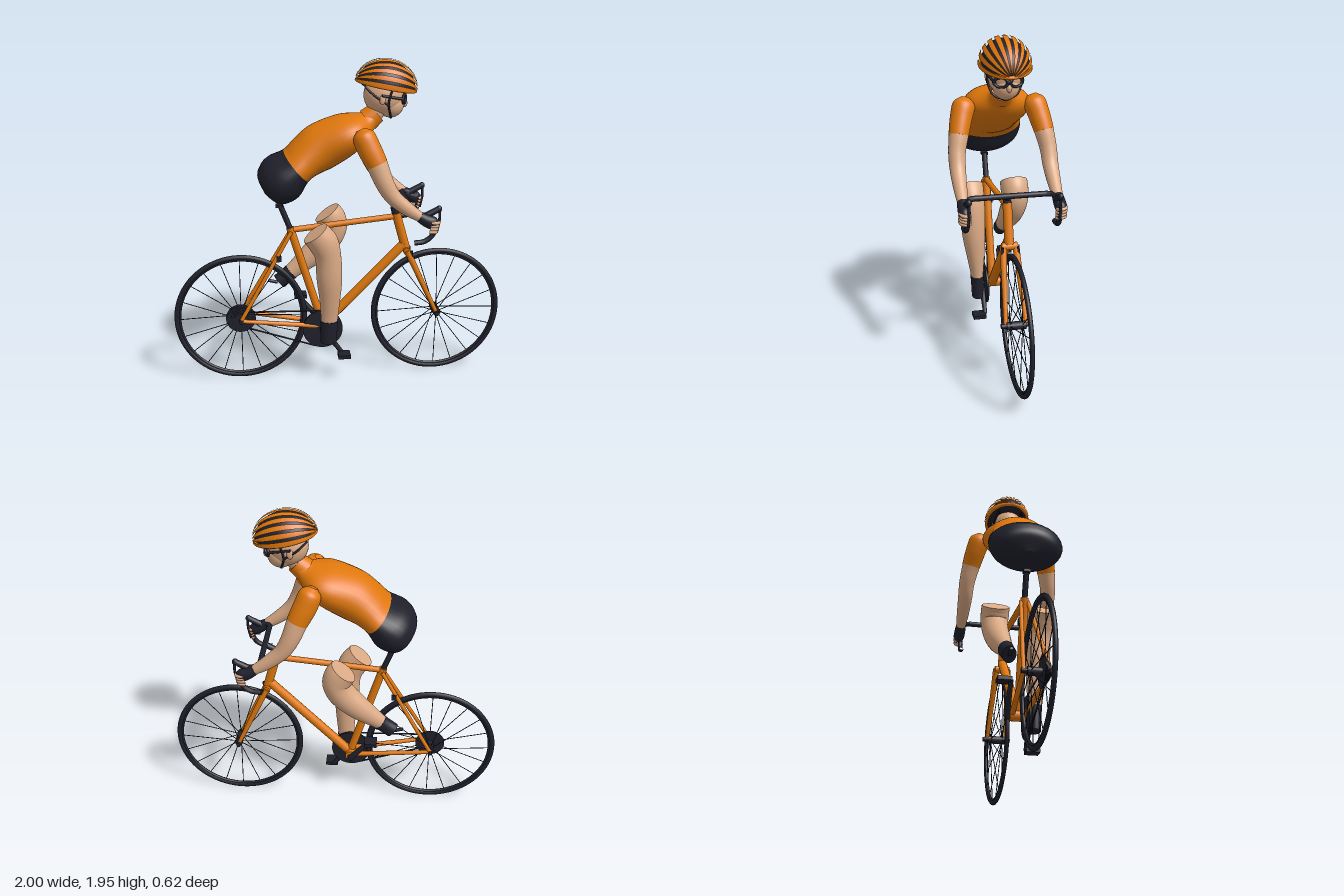
import * as THREE from 'three';

const mat = (name, color) => {
  const m = new THREE.MeshStandardMaterial({ color });
  m.name = name;
  return m;
};
const V = (p) => new THREE.Vector3(...p);

export function createModel() {
  const orange = mat('orange', 0xe0780c);
  const dark = mat('dark navy', 0x20202c);
  const skin = mat('skin', 0xdcab86);
  const model = new THREE.Group();
  model.name = 'cyclist';
  const group = (name) => {
    const g = new THREE.Group();
    g.name = name;
    model.add(g);
    return g;
  };
  const add = (parent, name, geo, material, pos = [0, 0, 0]) => {
    const m = new THREE.Mesh(geo, material);
    m.name = name;
    m.position.set(...pos);
    parent.add(m);
    return m;
  };
  // straight round bar between two points
  const rod = (parent, name, a, b, r, material, r2 = r, sides = 14) => {
    const d = V(b).sub(V(a));
    const m = add(parent, name, new THREE.CylinderGeometry(r2, r, d.length(), sides), material);
    m.position.copy(V(a)).addScaledVector(d, 0.5);
    m.quaternion.setFromUnitVectors(new THREE.Vector3(0, 1, 0), d.normalize());
    return m;
  };
  const tube = (parent, name, pts, r, material) =>
    add(parent, name, new THREE.TubeGeometry(new THREE.CatmullRomCurve3(pts.map(V)), 40, r, 10), material);
  const ball = (parent, name, pos, s, material) =>
    add(parent, name, new THREE.SphereGeometry(1, 32, 20).scale(...s), material, pos);

  // smooth limb through rows [x, y, z, radius in plane, radius across], cut to t0..t1 and capped
  const loft = (parent, name, rows, material, t0 = 0, t1 = 1) => {
    const path = new THREE.CatmullRomCurve3(rows.map((r) => V(r.slice(0, 3))), false, 'catmullrom');
    const size = new THREE.CatmullRomCurve3(rows.map((r) => V([r[3], r[4], 0])), false, 'catmullrom');
    const N = 28, M = 32, pos = [], idx = [];
    const steps = [];
    for (let i = 0; i <= N; i++) steps.push([t0 + ((t1 - t0) * i) / N, 1]);
    steps.unshift([t0, 0.001], [t0, 1]);
    steps.push([t1, 1], [t1, 0.001]);
    steps.forEach(([t, k], i) => {
      const p = path.getPoint(t), s = size.getPoint(t), T = path.getTangent(t);
      const S = new THREE.Vector3(0, 0, 1).addScaledVector(T, -T.z).normalize();
      const U = S.clone().cross(T);
      for (let j = 0; j < M; j++) {
        const a = (j / M) * Math.PI * 2;
        const q = p.clone().addScaledVector(U, Math.cos(a) * s.x * k).addScaledVector(S, Math.sin(a) * s.y * k);
        pos.push(q.x, q.y, q.z);
        if (i < steps.length - 1) {
          const A = i * M + j, B = i * M + ((j + 1) % M);
          idx.push(A, B, A + M, B, B + M, A + M);
        }
      }
    });
    const g = new THREE.BufferGeometry();
    g.setAttribute('position', new THREE.Float32BufferAttribute(pos, 3));
    g.setIndex(idx);
    g.computeVertexNormals();
    return add(parent, name, g, material);
  };

  // wheels
  for (const [name, x] of [['rearWheel', -0.598], ['frontWheel', 0.598]]) {
    const w = group(name);
    w.position.set(x, 0.402, 0);
    add(w, 'tyre', new THREE.TorusGeometry(0.385, 0.016, 12, 80).scale(1, 1, 0.85), dark);
    add(w, 'rim', new THREE.TorusGeometry(0.369, 0.009, 8, 80), dark);
    rod(w, 'hub', [0, 0, -0.055], [0, 0, 0.055], 0.024, dark);
    for (let i = 0; i < 20; i++) {
      const a = (i / 20) * Math.PI * 2, c = Math.cos(a), s = Math.sin(a);
      rod(w, 'spoke', [0.02 * c, 0.02 * s, i % 2 ? 0.035 : -0.035], [0.37 * c, 0.37 * s, 0], 0.0025, dark, 0.0025, 5);
    }
  }

  // frame
  const frame = group('frame');
  rod(frame, 'seatTube', [-0.1, 0.33, 0], [-0.292, 0.965, 0], 0.024, orange);
  rod(frame, 'topTube', [-0.29, 0.95, 0], [0.345, 1.015, 0], 0.018, orange);
  rod(frame, 'headTube', [0.342, 1.035, 0], [0.405, 0.81, 0], 0.027, orange);
  rod(frame, 'downTube', [0.395, 0.84, 0], [-0.1, 0.33, 0], 0.028, orange);
  rod(frame, 'bottomBracket', [-0.105, 0.33, -0.05], [-0.105, 0.33, 0.05], 0.032, orange);
  rod(frame, 'forkCrown', [0.408, 0.8, -0.045], [0.408, 0.8, 0.045], 0.022, orange);
  for (const s of [-1, 1]) {
    rod(frame, 'forkBlade', [0.408, 0.805, s * 0.036], [0.596, 0.402, s * 0.058], 0.02, orange, 0.012);
    rod(frame, 'seatStay', [-0.285, 0.945, s * 0.02], [-0.598, 0.405, s * 0.072], 0.012, orange);
    rod(frame, 'chainStay', [-0.11, 0.335, s * 0.035], [-0.598, 0.405, s * 0.072], 0.016, orange, 0.012);
    rod(frame, 'axleNut', [-0.598, 0.403, s * 0.05], [-0.598, 0.403, s * 0.085], 0.014, dark);
    rod(frame, 'axleNut', [0.596, 0.403, s * 0.04], [0.596, 0.403, s * 0.085], 0.014, dark);
    add(frame, 'brakeArm', new THREE.BoxGeometry(0.035, 0.04, 0.012), dark, [0.425, 0.785, s * 0.045]);
    add(frame, 'brakeArm', new THREE.BoxGeometry(0.03, 0.035, 0.012), dark, [-0.362, 0.785, s * 0.045]);
  }
  rod(frame, 'seatPost', [-0.29, 0.955, 0], [-0.345, 1.1, 0], 0.017, dark);
  add(frame, 'saddleClamp', new THREE.BoxGeometry(0.04, 0.016, 0.04), dark, [-0.355, 1.102, 0]);

  // drivetrain
  const drive = group('drivetrain');
  rod(drive, 'chainring', [-0.105, 0.322, 0.04], [-0.105, 0.322, 0.052], 0.122, dark, 0.122, 48);
  for (let i = 0; i < 6; i++)
    rod(drive, 'sprocket', [-0.6, 0.405, 0.022 + i * 0.007], [-0.6, 0.405, 0.026 + i * 0.007], 0.09 - i * 0.009, dark, 0.09 - i * 0.009, 32);
  rod(drive, 'upperChain', [-0.59, 0.452, 0.046], [-0.12, 0.442, 0.046], 0.005, dark, 0.005, 6);
  rod(drive, 'lowerChain', [-0.55, 0.345, 0.046], [-0.15, 0.21, 0.046], 0.005, dark, 0.005, 6);
  for (const [s, x, y] of [[1, 0.02, 0.168], [-1, -0.23, 0.488]]) {
    rod(drive, 'crankAxle', [-0.105, 0.325, 0], [-0.105, 0.325, s * 0.072], 0.018, dark);
    rod(drive, 'crankArm', [-0.105, 0.325, s * 0.066], [x - 0.01, y, s * 0.066], 0.019, dark, 0.013);
    add(drive, 'pedal', new THREE.BoxGeometry(0.075, 0.022, 0.08), dark, [x, y, s * 0.105]);
  }

  // handlebar
  const bars = group('handlebar');
  rod(bars, 'stemCap', [0.342, 1.03, 0], [0.33, 1.075, 0], 0.024, dark);
  rod(bars, 'stem', [0.335, 1.06, 0], [0.415, 1.1, 0], 0.018, dark);
  rod(bars, 'topBar', [0.41, 1.1, -0.215], [0.41, 1.1, 0.215], 0.016, dark);
  for (const s of [-1, 1]) {
    tube(bars, 'drop', [[0.41, 1.1, s * 0.2], [0.425, 1.1, s * 0.238], [0.49, 1.085, s * 0.25], [0.525, 1.04, s * 0.253],
      [0.51, 0.975, s * 0.255], [0.465, 0.94, s * 0.257], [0.405, 0.932, s * 0.258]], 0.015, dark);
    rod(bars, 'hood', [0.46, 1.085, s * 0.25], [0.545, 1.13, s * 0.25], 0.02, dark, 0.017);
    ball(bars, 'hoodTip', [0.545, 1.13, s * 0.25], [0.018, 0.02, 0.016], dark);
    tube(bars, 'brakeLever', [[0.548, 1.125, s * 0.25], [0.55, 1.07, s * 0.25], [0.535, 0.99, s * 0.252]], 0.008, dark);
  }

  // torso
  const body = group('torso');
  const torso = [[-0.436, 1.186, 0, 0.005, 0.02], [-0.412, 1.205, 0, 0.1, 0.155], [-0.37, 1.24, 0, 0.135, 0.203],
    [-0.32, 1.285, 0, 0.142, 0.215], [-0.25, 1.345, 0, 0.112, 0.205], [-0.185, 1.4, 0, 0.122, 0.185],
    [-0.1, 1.455, 0, 0.137, 0.178], [0.03, 1.52, 0, 0.12, 0.195], [0.11, 1.56, 0, 0.09, 0.165],
    [0.165, 1.595, 0, 0.06, 0.085], [0.2, 1.625, 0, 0.048, 0.058]];
  loft(body, 'shorts', torso, dark, 0, 0.4);
  loft(body, 'jersey', torso, orange, 0.4, 1);
  rod(body, 'collar', [0.165, 1.6, 0], [0.215, 1.642, 0], 0.068, orange, 0.06, 28);
  rod(body, 'neck', [0.18, 1.61, 0], [0.25, 1.7, 0], 0.053, skin, 0.053, 24);

  // arms and hands
  for (const s of [-1, 1]) {
    const arm = group(s > 0 ? 'rightArm' : 'leftArm');
    const rows = [[0.1, 1.585, s * 0.19, 0.025, 0.025], [0.115, 1.55, s * 0.2, 0.062, 0.062], [0.145, 1.48, s * 0.222, 0.067, 0.062],
      [0.187, 1.395, s * 0.243, 0.061, 0.056], [0.225, 1.3, s * 0.26, 0.054, 0.049], [0.275, 1.215, s * 0.263, 0.047, 0.045],
      [0.36, 1.14, s * 0.264, 0.04, 0.038], [0.45, 1.08, s * 0.264, 0.027, 0.028]];
    loft(arm, 'sleeve', rows, orange, 0, 3 / 7);
    loft(arm, 'forearm', rows.map((r) => [r[0], r[1], r[2], r[3] * 0.98, r[4] * 0.98]), skin, 3 / 7, 1);
    loft(arm, 'glove', [[0.43, 1.093, s * 0.264, 0.03, 0.031], [0.47, 1.068, s * 0.265, 0.036, 0.034],
      [0.51, 1.05, s * 0.265, 0.038, 0.032], [0.535, 1.04, s * 0.262, 0.022, 0.022]], dark);
    for (let i = 0; i < 4; i++)
      tube(arm, 'finger', [[0.495 - i * 0.004, 1.06 - i * 0.018, s * 0.29], [0.532 - i * 0.004, 1.056 - i * 0.018, s * 0.284],
        [0.542 - i * 0.004, 1.052 - i * 0.018, s * 0.258], [0.52 - i * 0.004, 1.048 - i * 0.018, s * 0.237]], 0.01, skin);
  }

  // legs: one stretched, one bent
  const near = group('rightLeg');
  const straight = [[-0.152, 0.968, 0.13, 0.083, 0.084], [-0.105, 0.905, 0.128, 0.088, 0.08], [-0.078, 0.82, 0.124, 0.077, 0.075],
    [-0.07, 0.68, 0.12, 0.076, 0.07], [-0.067, 0.54, 0.11, 0.062, 0.055], [-0.07, 0.4, 0.102, 0.05, 0.038], [-0.075, 0.255, 0.098, 0.046, 0.032]];
  loft(near, 'shin', straight, skin, 0, 5 / 6);
  loft(near, 'sock', straight.map((r) => [r[0], r[1], r[2], r[3] + 0.003, r[4] + 0.003]), dark, 5 / 6, 1);
  const far = group('leftLeg');
  const bent = [[-0.062, 1.012, -0.125, 0.085, 0.082], [-0.035, 0.975, -0.125, 0.088, 0.083], [-0.022, 0.92, -0.125, 0.083, 0.08],
    [-0.06, 0.845, -0.122, 0.083, 0.075], [-0.15, 0.755, -0.117, 0.074, 0.066], [-0.285, 0.645, -0.105, 0.047, 0.042], [-0.36, 0.585, -0.1, 0.045, 0.037]];
  loft(far, 'shin', bent, skin, 0, 5 / 6);
  loft(far, 'sock', bent.map((r) => [r[0], r[1], r[2], r[3] + 0.003, r[4] + 0.003]), dark, 5 / 6, 1);
  rod(far, 'heelTab', [-0.37, 0.58, -0.1], [-0.425, 0.595, -0.1], 0.01, dark);

  // head, glasses and straps
  const head = group('head');
  ball(head, 'skull', [0.255, 1.745, 0], [0.115, 0.115, 0.095], skin);
  ball(head, 'jaw', [0.295, 1.69, 0], [0.078, 0.077, 0.074], skin);
  ball(head, 'nose', [0.378, 1.695, 0], [0.016, 0.024, 0.014], skin);
  for (const s of [-1, 1]) {
    const lens = add(head, 'lensFrame', new THREE.TorusGeometry(0.03, 0.008, 8, 24).scale(1.25, 0.85, 1), dark, [0.368, 1.725, s * 0.042]);
    lens.rotation.y = Math.PI / 2 - s * 0.4;
    rod(head, 'templeArm', [0.352, 1.73, s * 0.08], [0.23, 1.755, s * 0.1], 0.007, dark);
    tube(head, 'frontStrap', [[0.29, 1.79, s * 0.1], [0.27, 1.71, s * 0.096], [0.285, 1.64, s * 0.066], [0.3, 1.61, 0]], 0.006, dark);
    tube(head, 'rearStrap', [[0.14, 1.8, s * 0.07], [0.19, 1.755, s * 0.092], [0.27, 1.7, s * 0.096]], 0.006, dark);
    ball(head, 'ear', [0.235, 1.73, s * 0.094], [0.018, 0.028, 0.01], skin);
  }
  rod(head, 'glassesBridge', [0.382, 1.73, -0.015], [0.382, 1.73, 0.015], 0.007, dark);

  // helmet: flat-bottomed dark shell under orange ribs
  const helmet = group('helmet');
  helmet.position.set(0.268, 1.798, 0);
  helmet.rotation.z = -0.2;
  const shell = new THREE.SphereGeometry(1, 40, 28);
  const sp = shell.attributes.position;
  for (let i = 0; i < sp.count; i++) if (sp.getY(i) < 0) sp.setY(i, sp.getY(i) * 0.12);
  shell.scale(0.168, 0.138, 0.13).computeVertexNormals();
  add(helmet, 'shell', shell, dark);
  const ribs = 11, span = 3.3;
  for (let i = 0; i < ribs; i++) {
    const mid = ((i + 0.5) / ribs - 0.5) * span;
    const rib = new THREE.SphereGeometry(1, 5, 28, mid - 0.1, 0.2, 0.12, Math.PI - 0.24);
    add(helmet, 'rib', rib.rotateZ(-Math.PI / 2).scale(0.182, 0.152, 0.145), orange);
  }
  add(helmet, 'rim', new THREE.TorusGeometry(1, 0.07, 10, 60).rotateX(Math.PI / 2).scale(0.17, 0.15, 0.133), orange);
  return model;
}
